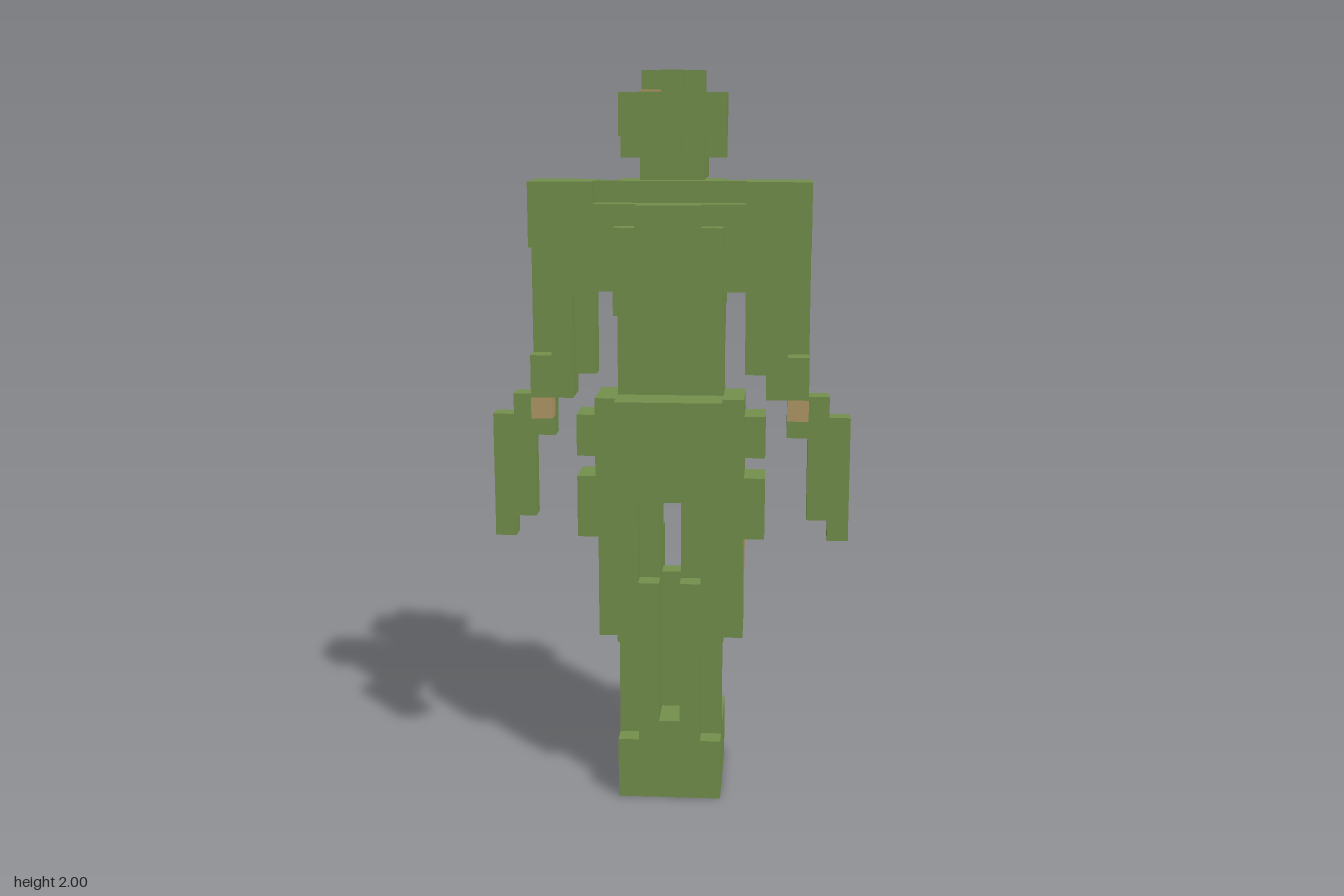
import * as THREE from 'three';

const U = 2 / 35; // one block

export function createModel() {
  const model = new THREE.Group();
  model.name = 'blockSoldier';

  const flat = (name, color) => {
    const m = new THREE.MeshStandardMaterial({ color });
    m.name = name;
    return m;
  };
  const green = flat('uniformGreen', 0x728e4a);
  const tan = flat('skinTan', 0xae9664);
  const dark = flat('lensDark', 0x06170c);

  // Box from edge coordinates in blocks
  function box(name, x0, x1, y0, y1, z0, z1, mat = green) {
    const g = new THREE.BoxGeometry((x1 - x0) * U, (y1 - y0) * U, (z1 - z0) * U);
    const mesh = new THREE.Mesh(g, mat);
    mesh.position.set((x0 + x1) / 2 * U, (y0 + y1) / 2 * U, (z0 + z1) / 2 * U);
    mesh.name = name;
    model.add(mesh);
  }
  // Box centred on x = 0
  const mid = (name, w, ...rest) => box(name, -w, w, ...rest);
  // Mirrored pair of boxes
  function pair(name, x0, x1, ...rest) {
    box(name + 'Left', x0, x1, ...rest);
    box(name + 'Right', -x1, -x0, ...rest);
  }

  // Boots on a shared base
  mid('boots', 2.5, 0, 3, -3, 3);
  mid('toeCap', 1.5, 0, 3, -4, -3);
  mid('instep', 1.5, 3, 4, -3, 0);

  // Legs
  pair('calf', 0.5, 1.5, 3, 11, 0, 3);
  pair('outerCalf', 1.5, 2.5, 3, 8, 1, 2);
  pair('innerThigh', 0.5, 1.5, 11, 15, 0, 2);
  mid('legWeb', 0.5, 3, 11, 0, 1);
  mid('ankleBlock', 0.5, 3, 4, 0, 3);
  pair('thigh', 1.5, 2.5, 8, 16, 0, 3);
  pair('outerThigh', 2.5, 3.5, 8, 16, 0, 2);
  pair('shinPlate', 0.5, 2.5, 7, 11, -1, 0);
  pair('innerKnee', 0.5, 1.5, 11, 13, -1, 0);
  pair('thighPlate', 1.5, 3.5, 13, 16, -1, 0);
  pair('kneePad', 1.5, 3.52, 11, 13, -1.02, 1, tan);

  // Hips and belt gear
  mid('hips', 3.5, 15, 20, 0, 3);
  mid('rearPack', 2.5, 16, 20, 3, 4);
  pair('beltPouch', 3.5, 4.5, 17, 19, 0, 2);
  pair('thighPouch', 3.5, 4.5, 13, 16, 0, 2);
  mid('beltFront', 2.5, 16, 18, -1, 0);
  box('beltPlate', 0.5, 2.5, 18, 20, -1, 0);
  pair('frontPouch', 2.5, 3.5, 16, 19, -1, 0);
  box('palm', -2.5, -1.5, 18, 19, -1, 0, tan);
  box('fingers', -1.5, -0.5, 18, 20, -1, 0, tan);
  box('beltBuckle', -0.5, 0.5, 18, 20, -1, 0);

  // Torso
  mid('waist', 2.5, 20, 24, 0, 2);
  mid('bellyPlate', 1.5, 20, 23, -1, 0);
  mid('lowerVest', 2.5, 23, 24, -1, 0);
  mid('chest', 2.5, 24, 29, -2, 3);
  mid('ribs', 3.5, 25, 29, 0, 3);
  pair('chestPouch', 2.5, 3.5, 26, 29, -1, 0);
  mid('collar', 2.5, 29, 30, -1, 2);
  pair('strap', 2.5, 3.5, 29, 30, 1, 2);
  mid('backpack', 2.5, 24, 28, 3, 4);
  mid('backpackTop', 1.5, 28, 29, 3, 4);

  // Arms, hands and the tools beside them
  pair('shoulder', 3.5, 6.5, 27, 30, 0, 3);
  pair('upperArm', 4.5, 5.5, 21, 27, 0, 3);
  pair('armpit', 3.5, 4.5, 25, 27, 0, 3);
  pair('armSides', 3.5, 6.5, 22, 27, 1, 2);
  pair('innerElbow', 3.5, 4.5, 21, 25, 1, 2);
  pair('forearm', 4.5, 6.5, 20, 22, 1, 3);
  pair('hand', 5.5, 6.5, 19, 20, 2, 3, tan);
  pair('grip', 5.5, 6.5, 18, 20, 1, 2);
  pair('toolBody', 6.5, 7.5, 14, 20, 1, 2);
  pair('toolEdge', 7.5, 8.5, 13, 19, 1, 2);

  // Head with mask
  mid('neck', 1.5, 30, 31, -3, 1);
  mid('jaw', 0.5, 29, 30, -3, 0);
  mid('snout', 1.5, 30, 31, -4, -3);
  mid('filter', 0.5, 29, 30, -4, -3, dark);
  mid('skull', 1.5, 31, 32, -1, 1);
  mid('nape', 0.5, 31, 32, 1, 2);
  pair('ear', 1.5, 2.5, 31, 32, -1, 0);
  mid('nose', 0.5, 31, 32, -3, -1);
  pair('eye', 0.5, 1.5, 31, 32, -2, -1, dark);

  // Helmet
  mid('helmetSides', 2.5, 32, 34, -2, 1);
  mid('helmetFrontBack', 1.5, 32, 34, -3, 2);
  mid('crownAcross', 1.5, 34, 35, -1, 0);
  mid('crownAlong', 0.5, 34, 35, -2, 1);
  box('helmetPatch', -1.5, -0.5, 34, 34.1, 0, 1, tan);

  return model;
}
